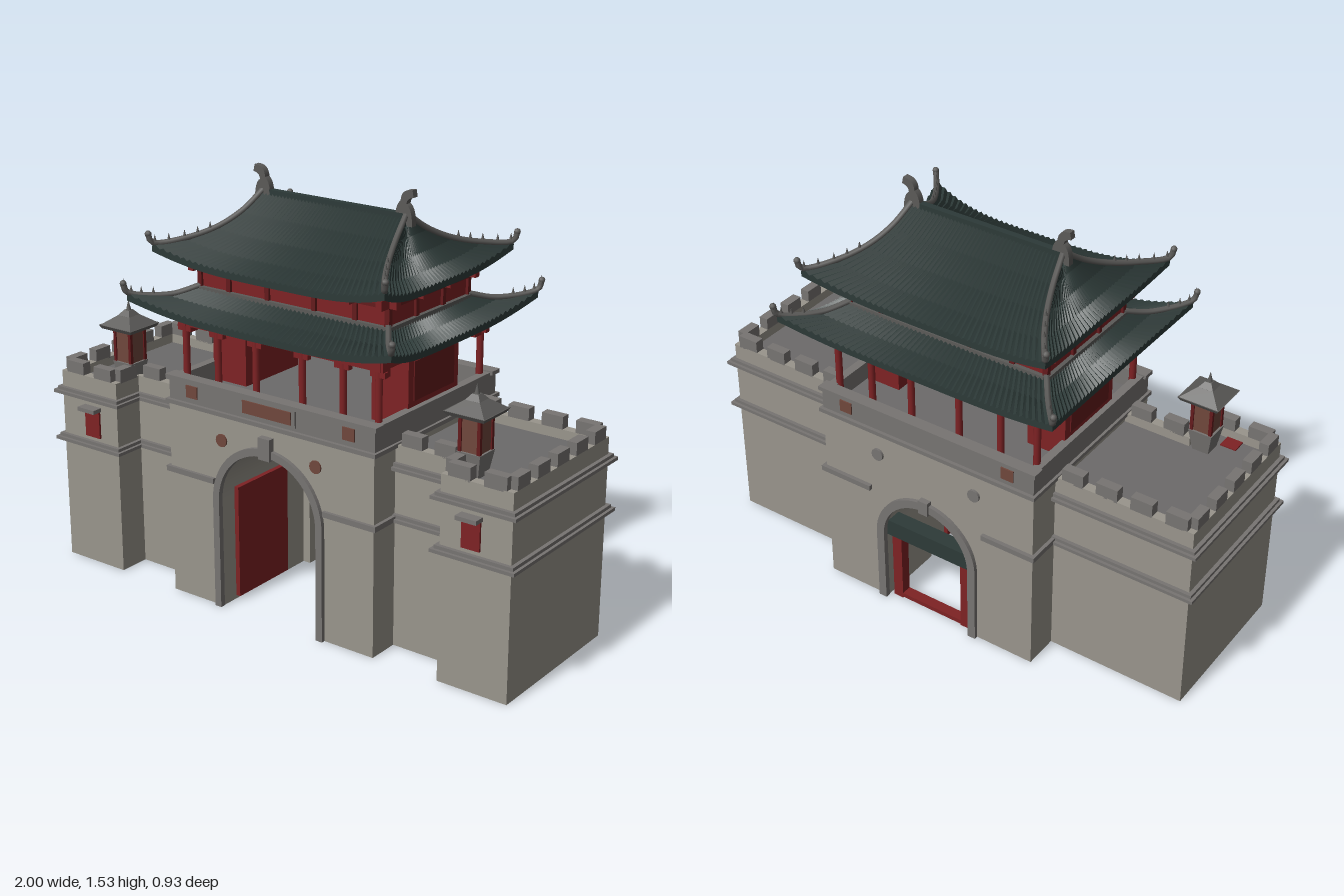
import * as THREE from 'three';

const mat = (name, color, side = THREE.FrontSide) => {
  const m = new THREE.MeshStandardMaterial({ color, side });
  m.name = name;
  return m;
};

export function createModel() {
  const root = new THREE.Group();
  root.name = 'gatehouse';
  const stone = mat('pale stone', 0x99958c);
  const trim = mat('grey stone trim', 0x777472);
  const deck = mat('paving', 0x6c6a6a);
  const tile = mat('dark roof tile', 0x2d3a38, THREE.DoubleSide);
  const ridgeMat = mat('ridge tile', 0x5b5a58);
  const red = mat('red timber', 0x7e2224, THREE.DoubleSide);
  const darkRed = mat('dark red panel', 0x641a1c);
  const brown = mat('brown panel', 0x70473c);

  const add = (name, geo, m, x = 0, y = 0, z = 0, parent = root) => {
    const mesh = new THREE.Mesh(geo, m);
    mesh.name = name;
    mesh.position.set(x, y, z);
    parent.add(mesh);
    return mesh;
  };
  // box from its low and high corners
  const span = (name, m, x0, x1, y0, y1, z0, z1) =>
    add(name, new THREE.BoxGeometry(Math.abs(x1 - x0), y1 - y0, Math.abs(z1 - z0)), m,
      (x0 + x1) / 2, (y0 + y1) / 2, (z0 + z1) / 2);

  // ---- central gate block: wide arch in front, smaller arch behind ----
  const archShape = (w, top, r, cy, roundTop) => {
    const s = new THREE.Shape();
    s.moveTo(-w, 0);
    s.lineTo(-r, 0);
    s.lineTo(-r, cy);
    s.absarc(0, cy, r, Math.PI, 0, true);
    s.lineTo(r, 0);
    s.lineTo(w, 0);
    if (roundTop) {
      s.lineTo(w, cy);
      s.absarc(0, cy, w, 0, Math.PI, false);
    } else {
      s.lineTo(w, top);
      s.lineTo(-w, top);
    }
    return s;
  };
  const extrude = (shape, depth) =>
    new THREE.ExtrudeGeometry(shape, { depth, bevelEnabled: false, curveSegments: 20 });
  add('gateFront', extrude(archShape(0.445, 0.74, 0.215, 0.415), 0.47), stone, 0, 0, -0.1);
  add('gateBack', extrude(archShape(0.445, 0.74, 0.185, 0.3), 0.267), stone, 0, 0, -0.367);
  add('frontArchRing', extrude(archShape(0.24, 0, 0.213, 0.415, true), 0.02), trim, 0, 0, 0.365);
  add('backArchRing', extrude(archShape(0.215, 0, 0.183, 0.3, true), 0.02), trim, 0, 0, -0.382);
  span('frontKeystone', trim, -0.025, 0.025, 0.62, 0.7, 0.36, 0.395);
  span('backKeystone', trim, -0.02, 0.02, 0.475, 0.53, -0.39, -0.36);
  span('archLunette', red, -0.08, 0.08, 0.6, 0.617, -0.1, -0.092);

  // gate timber
  span('lintel', tile, -0.185, 0.185, 0.285, 0.35, -0.36, -0.3);
  span('lintelFace', red, -0.18, 0.18, 0.29, 0.34, -0.3, -0.292);
  span('threshold', red, -0.17, 0.17, 0.005, 0.022, -0.35, -0.31);
  for (const s of [1, -1]) {
    span('gateJamb', red, s * 0.13, s * 0.17, 0, 0.285, -0.35, -0.31);
    span('gateLeaf', red, s * 0.195, s * 0.213, 0.015, 0.44, 0.02, 0.3);
  }

  // ---- platform parapet, cornice and painted details ----
  for (const s of [1, -1]) {
    span('platformWall', trim, -0.445, 0.445, 0.74, 0.83, s * 0.335, s * 0.367);
    span('platformEnd', trim, s * 0.413, s * 0.445, 0.74, 0.83, -0.335, 0.335);
    span('platformCap', trim, -0.455, 0.455, 0.82, 0.835, s * 0.33, s * 0.377);
    span('platformCornice', trim, -0.455, 0.455, 0.73, 0.745, s * 0.36, s * 0.38);
    span('platformEndCornice', trim, s * 0.44, s * 0.455, 0.73, 0.745, -0.37, 0.37);
    for (const f of [1, -1])
      span('gateBand', trim, s * 0.24, s * 0.458, 0.47, 0.49, f * 0.36, f * 0.382);
    span('gateEndBand', trim, s * 0.44, s * 0.458, 0.47, 0.49, -0.38, 0.38);
    for (const f of [1, -1]) {
      const r = add('rosette', new THREE.CylinderGeometry(0.024, 0.024, 0.012, 12), f > 0 ? brown : trim, s * 0.205, 0.64, f * 0.37);
      r.rotation.x = Math.PI / 2;
      span('smallPanel', brown, s * 0.315, s * 0.365, 0.765, 0.81, f * 0.365, f * 0.372);
    }
  }
  span('platformFloor', deck, -0.42, 0.42, 0.735, 0.76, -0.34, 0.34);
  span('plaqueFrame', trim, -0.12, 0.12, 0.757, 0.823, 0.36, 0.374);
  span('plaque', brown, -0.105, 0.105, 0.767, 0.813, 0.37, 0.379);

  // ---- side wings with battlements ----
  const battlement = (x0, z0, x1, z1) => {
    const len = Math.hypot(x1 - x0, z1 - z0), n = Math.max(1, Math.round(len / 0.12));
    const t = 0.018, alongX = z0 === z1 ? 1 : 0;
    const px = alongX ? 0 : t, pz = alongX ? t : 0;
    const lo = Math.min(x0, x1), hi = Math.max(x0, x1);
    span('parapet', stone, lo - px, hi + px, 0.69, 0.74, z0 - pz, z1 + pz);
    for (let i = 0; i < n; i++) {
      const c = (i + 0.5) / n, h = (len / n) * 0.31;
      const cx = x0 + (x1 - x0) * c, cz = z0 + (z1 - z0) * c;
      const hx = alongX ? h : t, hz = alongX ? t : h;
      span('merlon', trim, cx - hx, cx + hx, 0.735, 0.785, cz - hz, cz + hz);
    }
  };
  for (const s of [1, -1]) {
    span('wing', stone, s * 0.44, s * 0.71, 0, 0.7, -0.235, 0.25);
    span('tower', stone, s * 0.705, s * 0.975, 0, 0.7, -0.235, 0.37);
    span('wingDeck', deck, s * 0.445, s * 0.96, 0.695, 0.705, -0.22, 0.24);
    span('towerDeck', deck, s * 0.715, s * 0.96, 0.695, 0.705, 0.2, 0.36);
    for (const y of [0.47, 0.655])
      for (const [g, h] of [[0.025, 0.012], [0.014, 0.024]]) {
        span('wingBand', trim, s * 0.43, s * 0.7, y, y + h, -0.235 - g, 0.25 + g);
        span('towerBand', trim, s * (0.705 - g), s * (0.975 + g), y, y + h, -0.235 - g, 0.37 + g);
      }
    battlement(s * 0.445, -0.217, s * 0.975, -0.217);
    battlement(s * 0.957, -0.235, s * 0.957, 0.37);
    battlement(s * 0.705, 0.352, s * 0.975, 0.352);
    battlement(s * 0.723, 0.232, s * 0.723, 0.37);
    battlement(s * 0.445, 0.232, s * 0.705, 0.232);
    // hanging banner and its bracket
    span('banner', red, s * 0.79, s * 0.86, 0.51, 0.62, 0.37, 0.378);
    span('bannerRod', trim, s * 0.785, s * 0.865, 0.615, 0.63, 0.37, 0.41);
    span('deckPanel', red, s * 0.79, s * 0.85, 0.704, 0.71, 0.28, 0.335);

    // lantern turret
    const lamp = new THREE.Group();
    lamp.name = 'lanternTurret';
    lamp.position.set(s * 0.75, 0, 0.24);
    root.add(lamp);
    const four = (name, m, rt, rb, h, y) => {
      const g = new THREE.CylinderGeometry(rt * Math.SQRT2, rb * Math.SQRT2, h, 4).rotateY(Math.PI / 4).toNonIndexed();
      g.computeVertexNormals();
      add(name, g, m, 0, y, 0, lamp);
    };
    four('lanternFoot', trim, 0.045, 0.03, 0.09, 0.745);
    four('lanternBody', brown, 0.037, 0.037, 0.135, 0.85);
    for (const [a, b] of [[1, 1], [1, -1], [-1, 1], [-1, -1]])
      add('lanternPost', new THREE.BoxGeometry(0.012, 0.14, 0.012), darkRed, a * 0.036, 0.85, b * 0.036, lamp);
    four('lanternEave', ridgeMat, 0.078, 0.07, 0.014, 0.922);
    four('lanternRoof', ridgeMat, 0.028, 0.076, 0.035, 0.945);
    four('lanternCap', ridgeMat, 0.012, 0.028, 0.02, 0.972);
    add('lanternFinial', new THREE.ConeGeometry(0.01, 0.04, 8), ridgeMat, 0, 1.0, 0, lamp);
  }

  // ---- timber hall ----
  for (const s of [1, -1]) {
    span('endRoom', red, s * 0.275, s * 0.425, 0.75, 1.07, -0.15, 0.15);
    span('endPanel', darkRed, s * 0.42, s * 0.429, 0.85, 0.99, -0.12, 0.12);
    for (const f of [1, -1]) {
      for (const x of [0.1, 0.27, 0.415]) {
        add('column', new THREE.CylinderGeometry(0.013, 0.013, 0.31, 10), red, s * x, 0.905, f * 0.305);
        span('columnBracket', red, s * x - 0.03, s * x + 0.03, 0.985, 1.005, f * 0.295, f * 0.315);
      }
      span('endBracket', red, s * 0.405, s * 0.425, 0.975, 1.005, f * 0.305, f * 0.255);
    }
    span('longBeam', red, -0.44, 0.44, 1.005, 1.05, s * 0.292, s * 0.318);
    span('endBeam', red, s * 0.403, s * 0.429, 1.005, 1.05, -0.32, 0.32);
  }
  span('upperHall', red, -0.4, 0.4, 1.04, 1.26, -0.235, 0.235);
  for (const s of [1, -1]) {
    for (const x of [-0.4, -0.27, -0.1, 0.1, 0.27, 0.4]) {
      span('upperPost', darkRed, x - 0.009, x + 0.009, 1.1, 1.25, s * 0.23, s * 0.245);
      span('eaveBracket', red, x - 0.012, x + 0.012, 1.2, 1.235, s * 0.235, s * 0.29);
    }
    for (const z of [-0.235, -0.08, 0.08, 0.235]) {
      span('upperEndPost', darkRed, s * 0.395, s * 0.41, 1.1, 1.25, z - 0.009, z + 0.009);
      span('eaveBracket', red, s * 0.4, s * 0.44, 1.2, 1.235, z - 0.012, z + 0.012);
    }
    span('upperRail', darkRed, -0.41, 0.41, 1.195, 1.208, s * 0.23, s * 0.246);
    span('upperEndRail', darkRed, s * 0.395, s * 0.411, 1.195, 1.208, -0.24, 0.24);
  }

  // ---- sweeping ribbed roofs: rings of [half x, half z, y] from top to eave ----
  const roofSide = (rings, a, b, lift, out, under) => {
    const T = rings.length - 1, rows = under ? T : T + 1;
    const n = Math.round(rings[T][a] * 90) * 2, pos = [], idx = [];
    for (let j = 0; j <= rows; j++) {
      const k = Math.min(j, T), R = rings[k], e = (k / T) ** 2;
      for (let i = 0; i <= n; i++) {
        const u = (i / n) * 2 - 1, c = u ** 4 * e;
        const drop = under ? -0.018 : (j > T ? -0.02 : (i % 2) * 0.009);
        pos.push(u * (R[a] + out * c), R[2] + lift * c + drop, R[b] + out * c);
      }
    }
    const w = n + 1;
    for (let j = 0; j < rows; j++)
      for (let i = 0; i < n; i++) {
        const p = j * w + i, q = p + w;
        if (under) idx.push(p, p + 1, q, p + 1, q + 1, q);
        else idx.push(p, q, p + 1, p + 1, q, q + 1);
      }
    let g = new THREE.BufferGeometry();
    g.setAttribute('position', new THREE.Float32BufferAttribute(pos, 3));
    g.setIndex(idx);
    g = g.toNonIndexed();
    g.computeVertexNormals();
    return g;
  };
  const roof = (name, rings, lift, out) => {
    for (let k = 0; k < 4; k++)
      for (const under of [false, true]) {
        const g = roofSide(rings, k % 2, 1 - (k % 2), lift, out, under);
        add(name + (under ? 'Soffit' : 'Tiles'), g, under ? red : tile).rotation.y = k * Math.PI / 2;
      }
    // hip ridges with upturned tips and small figures
    const T = rings.length - 1;
    for (const sx of [1, -1]) for (const sz of [1, -1]) {
      const pts = rings.map(([x, z, y], k) => {
        const e = (k / T) ** 2;
        return new THREE.Vector3(sx * (x + out * e), y + lift * e + 0.012, sz * (z + out * e));
      });
      const tip = pts[T];
      pts.push(new THREE.Vector3(tip.x + sx * 0.008, tip.y + 0.03, tip.z + sz * 0.008));
      const curve = new THREE.CatmullRomCurve3(pts);
      add(name + 'Hip', new THREE.TubeGeometry(curve, 24, 0.011, 6), ridgeMat);
      add(name + 'HipTip', new THREE.SphereGeometry(0.012, 8, 6), ridgeMat, ...pts[T + 1].toArray());
      for (let i = 0; i < 6; i++) {
        const p = curve.getPoint(0.45 + i * 0.08);
        add(name + 'HipFigure', new THREE.ConeGeometry(0.007, 0.028, 6), ridgeMat, p.x, p.y + 0.018, p.z);
      }
    }
  };
  roof('lowerRoof', [[0.4, 0.235, 1.125], [0.455, 0.315, 1.085], [0.515, 0.4, 1.06]], 0.06, 0.045);
  roof('upperRoof', [[0.305, 0.004, 1.435], [0.325, 0.09, 1.37], [0.355, 0.175, 1.315],
    [0.4, 0.265, 1.27], [0.455, 0.35, 1.24]], 0.055, 0.035);
  for (const s of [1, -1]) {
    span('lowerRoofTopRidge', ridgeMat, -0.41, 0.41, 1.115, 1.135, s * 0.225, s * 0.25);
    span('lowerRoofEndRidge', ridgeMat, s * 0.395, s * 0.415, 1.115, 1.135, -0.25, 0.25);
  }

  // main ridge and its curled finials
  span('mainRidge', tile, -0.3, 0.3, 1.425, 1.452, -0.012, 0.012);
  const fin = new THREE.Shape();
  fin.moveTo(-0.03, 0);
  fin.lineTo(0.035, 0);
  fin.quadraticCurveTo(0.035, 0.06, 0.012, 0.075);
  fin.quadraticCurveTo(0.012, 0.095, 0.04, 0.1);
  fin.lineTo(0.035, 0.125);
  fin.quadraticCurveTo(-0.01, 0.125, -0.012, 0.085);
  fin.quadraticCurveTo(-0.04, 0.06, -0.03, 0);
  for (const s of [1, -1]) {
    const f = add('ridgeFinial', extrude(fin, 0.024).translate(0, 0, -0.012), ridgeMat, s * 0.3, 1.41, 0);
    f.rotation.y = s > 0 ? 0 : Math.PI;
  }
  return root;
}
